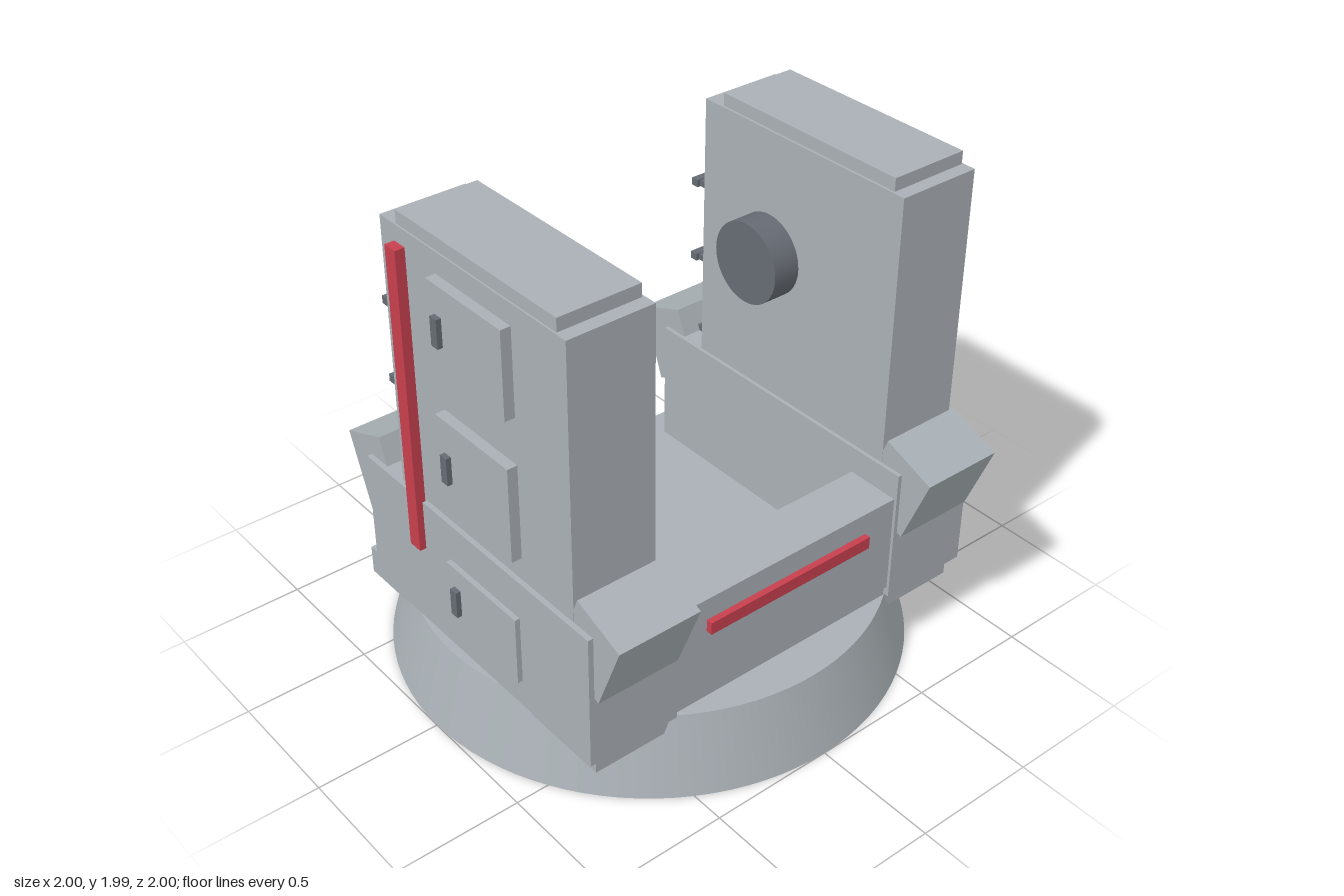
import * as THREE from 'three';

const material = (name, color) => {
  const m = new THREE.MeshStandardMaterial({ color });
  m.name = name;
  return m;
};

export function createModel() {
  const hull = material('hullGrey', 0xa9b0b5);
  const dark = material('darkGrey', 0x666b73);
  const red = material('signalRed', 0xc83f4e);
  const model = new THREE.Group();
  model.name = 'supportCradle';

  const add = (parent, name, geometry, mat) => {
    const mesh = new THREE.Mesh(geometry, mat);
    mesh.name = name;
    parent.add(mesh);
    return mesh;
  };
  // Box given by its limits on each axis
  const box = (parent, name, mat, [x0, x1], [y0, y1], [z0, z1]) => {
    const mesh = add(parent, name, new THREE.BoxGeometry(x1 - x0, y1 - y0, z1 - z0), mat);
    mesh.position.set((x0 + x1) / 2, (y0 + y1) / 2, (z0 + z1) / 2);
    return mesh;
  };

  // Round base, deck and front wall
  add(model, 'base', new THREE.CylinderGeometry(0.915, 1, 0.31, 96), hull).position.y = 0.155;
  box(model, 'deck', hull, [-0.845, 0.845], [0.245, 0.362], [-0.638, 0.755]);
  box(model, 'frontWall', hull, [-0.515, 0.515], [0.355, 0.762], [0.55, 0.768]);
  box(model, 'frontLight', red, [-0.373, 0.373], [0.623, 0.673], [0.76, 0.793]);

  // One tower per side; every part is symmetric, so only x limits are mirrored
  for (const side of [1, -1]) {
    const tower = new THREE.Group();
    tower.name = side > 0 ? 'leftTower' : 'rightTower';
    model.add(tower);
    const part = (name, mat, x, y, z) =>
      box(tower, name, mat, side > 0 ? x : [-x[1], -x[0]], y, z);

    part('towerFoot', hull, [0.512, 0.885], [0.318, 0.868], [-0.525, 0.78]);
    part('towerBody', hull, [0.527, 0.865], [0.34, 1.935], [-0.318, 0.68]);
    part('towerCap', hull, [0.537, 0.858], [1.93, 1.985], [-0.232, 0.627]);

    // Tilted blocks at both ends
    for (const end of [1, -1]) {
      const block = add(tower, 'tiltedBlock', new THREE.BoxGeometry(0.336, 0.307, 0.23), hull);
      block.position.set(side * 0.696, 0.788, 0.1175 + end * 0.633);
      block.rotation.x = end * 0.375;
    }

    // Pivot stub on the inner face
    const pivot = add(tower, 'pivot', new THREE.CylinderGeometry(0.16, 0.16, 0.125, 48), dark);
    pivot.rotation.z = Math.PI / 2;
    pivot.position.set(side * 0.4775, 1.45, 0.042);

    // Hatches with handles on the outer face
    for (const [y0, y1] of [[0.435, 0.713], [0.96, 1.335], [1.518, 1.853]]) {
      const mid = (y0 + y1) / 2;
      part('hatch', hull, [0.85, 0.905], [y0, y1], [-0.005, 0.402]);
      part('hatchHandle', dark, [0.895, 0.925], [mid - 0.055, mid + 0.055], [0.038, 0.074]);
    }
    part('sideLight', red, [0.873, 0.911], [0.665, 1.88], [-0.225, -0.165]);

    // Rear light and T-shaped climbing steps
    part('rearLight', red, [0.6, 0.795], [1.818, 1.868], [-0.343, -0.31]);
    for (const y of [0.88, 1.2, 1.52]) {
      part('stepArm', dark, [0.607, 0.784], [y - 0.012, y + 0.012], [-0.438, -0.33]);
      part('stepLip', dark, [0.595, 0.797], [y - 0.015, y + 0.015], [-0.468, -0.436]);
    }
  }
  return model;
}
